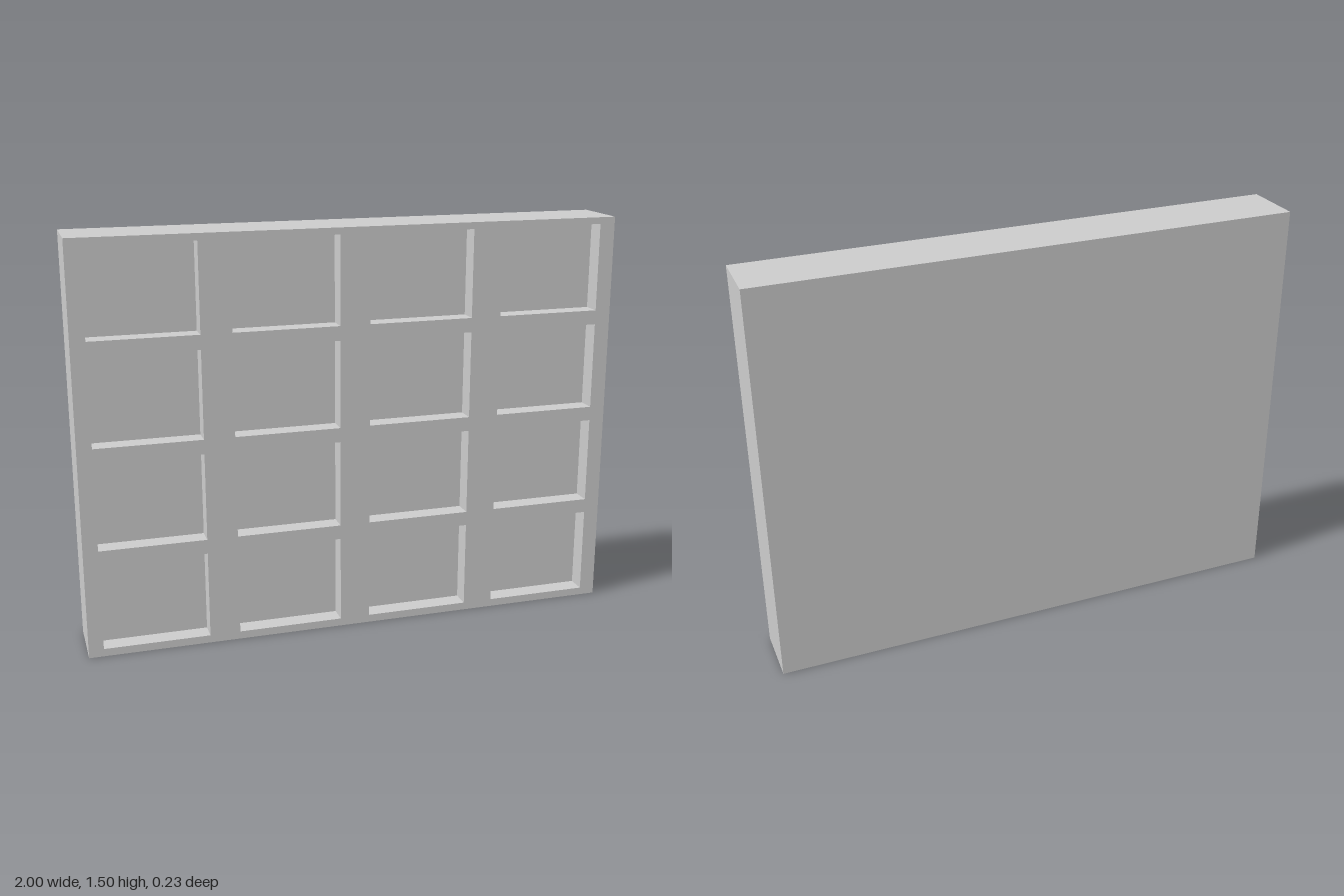
import * as THREE from 'three';

const WIDTH = 2, HEIGHT = 1.505, DEPTH = 0.23;
const COLS = 4, ROWS = 4;
const RECESS_W = 0.388, RECESS_H = 0.323, RECESS_DEPTH = 0.07;

// Rectangle outline centred on (cx, cy)
function rectangle(PathType, cx, cy, w, h) {
  const path = new PathType();
  path.moveTo(cx - w / 2, cy - h / 2);
  path.lineTo(cx + w / 2, cy - h / 2);
  path.lineTo(cx + w / 2, cy + h / 2);
  path.lineTo(cx - w / 2, cy + h / 2);
  path.closePath();
  return path;
}

export function createModel() {
  const group = new THREE.Group();
  group.name = 'coffered panel';
  const material = new THREE.MeshStandardMaterial({ color: 0xcccccc, flatShading: true });

  // Solid slab behind the recesses
  const slabDepth = DEPTH - RECESS_DEPTH;
  const backSlab = new THREE.Mesh(new THREE.BoxGeometry(WIDTH, HEIGHT, slabDepth), material);
  backSlab.name = 'backSlab';
  backSlab.position.set(0, HEIGHT / 2, -RECESS_DEPTH / 2);
  group.add(backSlab);

  // Front lattice with a grid of rectangular openings
  const outline = rectangle(THREE.Shape, 0, HEIGHT / 2, WIDTH, HEIGHT);
  for (let row = 0; row < ROWS; row++) {
    for (let col = 0; col < COLS; col++) {
      const cx = -WIDTH / 2 + (col + 0.5) * WIDTH / COLS - 0.002;
      const cy = (row + 0.5) * HEIGHT / ROWS + 0.002;
      outline.holes.push(rectangle(THREE.Path, cx, cy, RECESS_W, RECESS_H));
    }
  }
  const lattice = new THREE.Mesh(
    new THREE.ExtrudeGeometry(outline, { depth: RECESS_DEPTH, bevelEnabled: false }),
    material
  );
  lattice.name = 'frontLattice';
  lattice.position.z = DEPTH / 2 - RECESS_DEPTH;
  group.add(lattice);

  return group;
}
